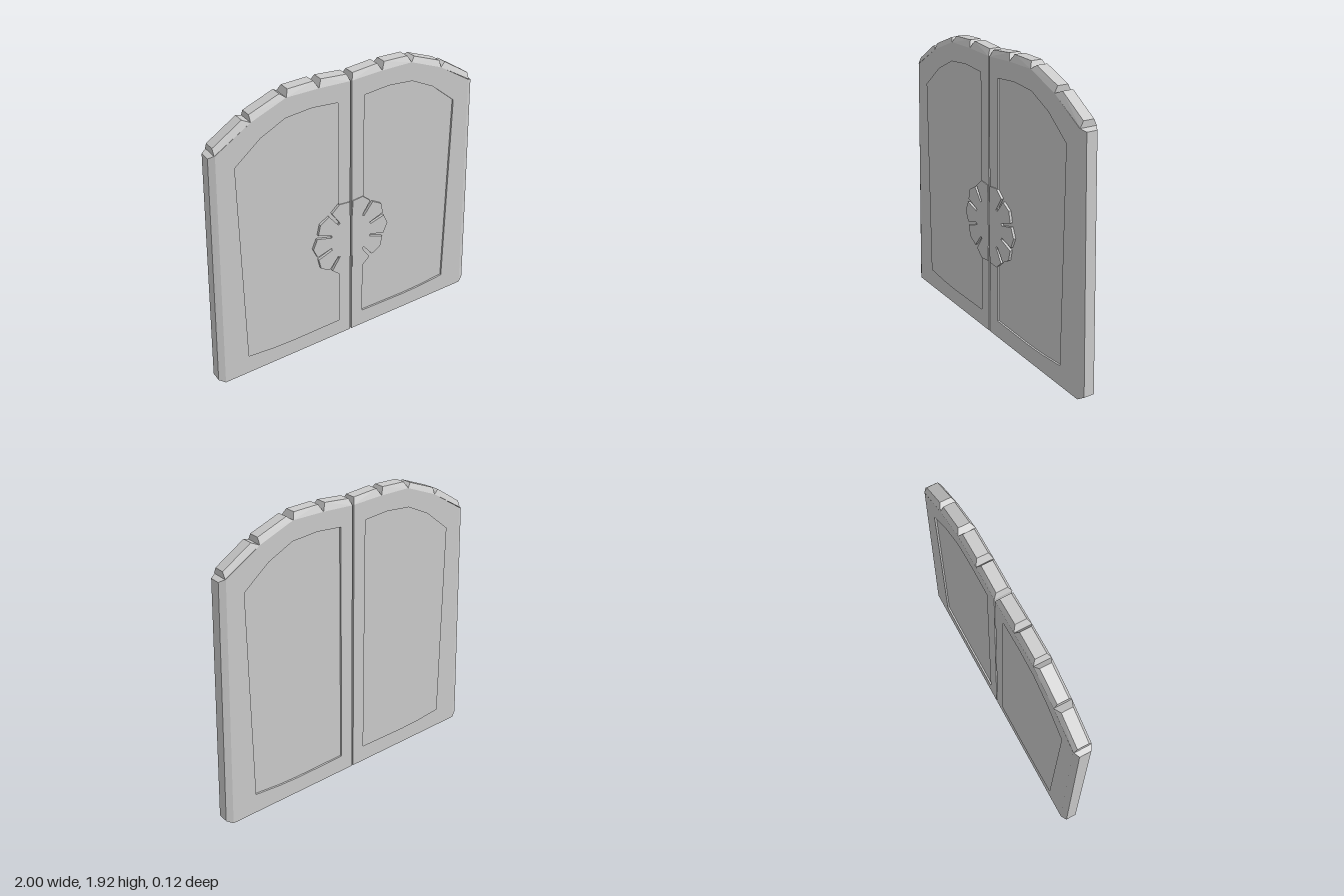
import * as THREE from 'three';
import { ConvexGeometry } from 'three/addons/geometries/ConvexGeometry.js';

const FACE = 0.056, RIDGE = 0.036, RECESS = 0.012, GAP = 0.006;
const material = new THREE.MeshStandardMaterial({ color: 0xcccccc, flatShading: true });

// Flat outline of one leaf, and the sunken panel inside it
const outline = [[GAP, 0], [0.96, 0], [0.895, 1.65], [0.665, 1.79], [0.435, 1.88], [0.22, 1.88], [GAP, 1.87]];
const panel = [[0.094, 0.12], [0.45, 0.115], [0.6, 0.12], [0.783, 0.137], [0.783, 1.535],
  [0.61, 1.675], [0.445, 1.755], [0.27, 1.77], [0.094, 1.755]];

// Bevelled blocks on the outline: base start, base end, ridge end, ridge start
const blocks = [
  ['sideEdge', [0.96, 0], [0.895, 1.65], [0.932, 1.635], [1, 0.025]],
  ['archStone', [0.9, 1.65], [0.665, 1.79], [0.71, 1.81], [0.9, 1.69]],
  ['archStone', [0.665, 1.79], [0.435, 1.88], [0.468, 1.905], [0.665, 1.83]],
  ['archStone', [0.435, 1.88], [0.22, 1.88], [0.245, 1.925], [0.415, 1.92]],
  ['archStone', [0.22, 1.88], [GAP, 1.87], [0.02, 1.91], [0.195, 1.925]],
];

const toPoints = (list, side) => list.map(([x, y]) => new THREE.Vector2(x * side, y));

function slab(name, points, z0, z1, hole) {
  const shape = new THREE.Shape(points);
  if (hole) shape.holes.push(new THREE.Path(hole));
  const geometry = new THREE.ExtrudeGeometry(shape, { depth: z1 - z0, bevelEnabled: false });
  geometry.translate(0, 0, z0);
  const mesh = new THREE.Mesh(geometry, material);
  mesh.name = name;
  return mesh;
}

function bevelledBlock([name, ...corners], side) {
  const points = [];
  corners.forEach(([x, y], i) => {
    const z = i < 2 ? FACE : RIDGE;
    points.push(new THREE.Vector3(x * side, y, z), new THREE.Vector3(x * side, y, -z));
  });
  const mesh = new THREE.Mesh(new ConvexGeometry(points), material);
  mesh.name = name;
  return mesh;
}

// Half of a ten-petalled rosette, five petals separated by narrow slits
function halfRosette() {
  const points = [[GAP, 0.625]];
  for (let i = -2; i <= 2; i++) {
    for (const [radius, offset] of [[0.155, -15], [0.264, -15.3], [0.285, 0], [0.264, 15.3], [0.155, 15]]) {
      const angle = THREE.MathUtils.degToRad(i * 36 + offset);
      points.push([radius * Math.cos(angle), 0.78 + radius * Math.sin(angle)]);
    }
  }
  points.push([GAP, 0.935]);
  return points;
}

function doorLeaf(side) {
  const leaf = new THREE.Group();
  leaf.name = side > 0 ? 'leftDoor' : 'rightDoor';
  const edge = toPoints(outline, side), hole = toPoints(panel, side);
  const inner = FACE - RECESS;
  leaf.add(
    slab('panelCore', edge, -inner, inner),
    slab('frontFrame', edge, inner, FACE, hole),
    slab('backFrame', edge, -FACE, -inner, hole),
    slab('rosetteHalf', toPoints(halfRosette(), side), inner, FACE + 0.005),
  );
  for (const block of blocks) leaf.add(bevelledBlock(block, side));
  return leaf;
}

export function createModel() {
  const model = new THREE.Group();
  model.name = 'archedDoubleDoor';
  model.add(doorLeaf(1), doorLeaf(-1));
  return model;
}
